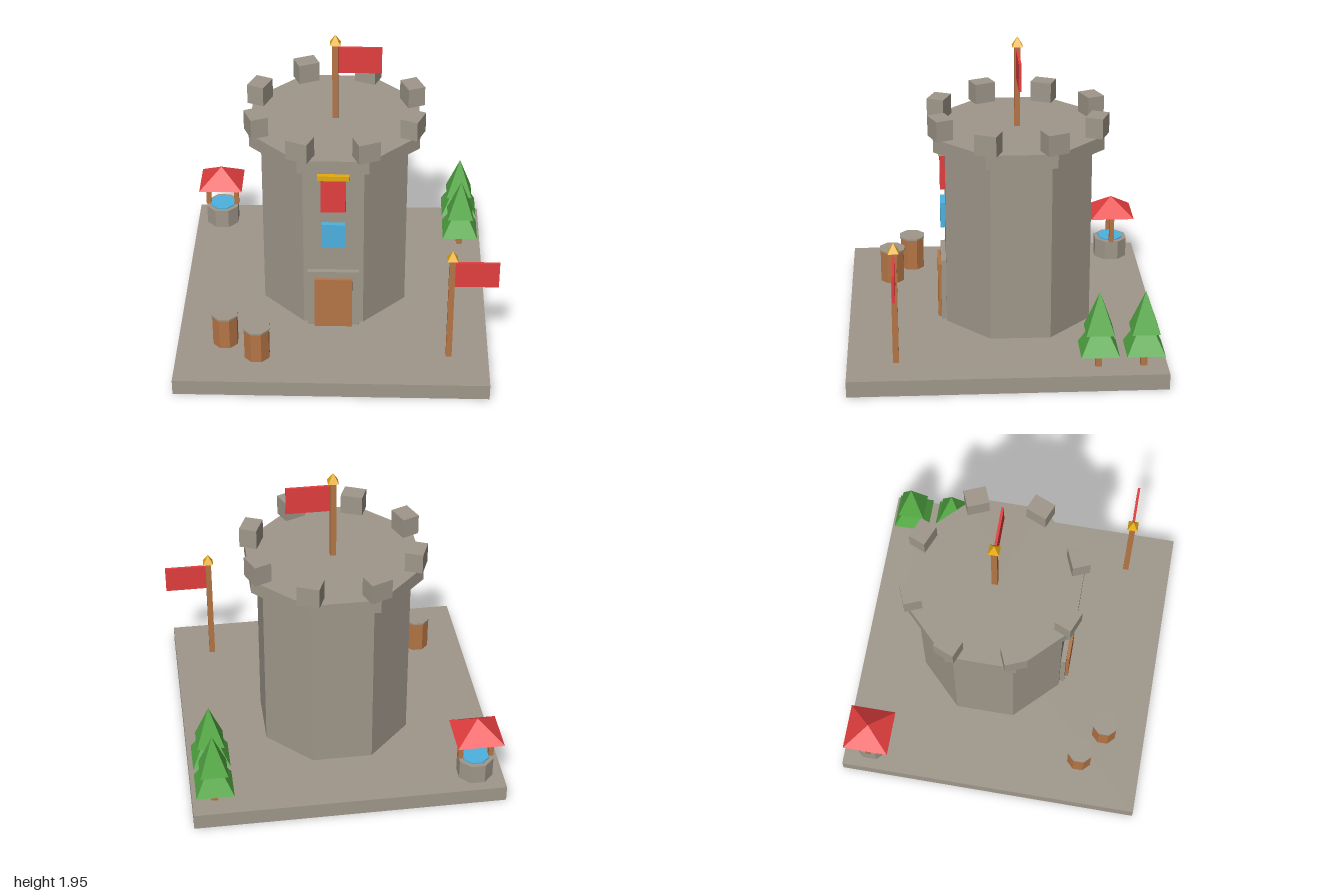
import * as THREE from 'three';

const material = (name, color) => {
  const m = new THREE.MeshStandardMaterial({ color });
  m.name = name;
  return m;
};

export function createModel() {
  const stone = material('stone', 0x9f978a);
  stone.side = THREE.DoubleSide; // the ground slab is an open shell
  const wood = material('wood', 0xb57545);
  const red = material('red cloth', 0xe43e3e);
  const blue = material('blue', 0x4db2e0);
  const green = material('leaf green', 0x54aa45);
  const gold = material('gold', 0xe4aa10);

  const model = new THREE.Group();
  model.name = 'castleTower';
  const GROUND = 0.104;

  const group = (name, x, y, z) => {
    const g = new THREE.Group();
    g.name = name;
    g.position.set(x, y, z);
    model.add(g);
    return g;
  };

  // Box given by its extents on each axis
  const box = (parent, name, mat, [x0, x1], [y0, y1], [z0, z1]) => {
    const mesh = new THREE.Mesh(new THREE.BoxGeometry(x1 - x0, y1 - y0, z1 - z0), mat);
    mesh.position.set((x0 + x1) / 2, (y0 + y1) / 2, (z0 + z1) / 2);
    mesh.name = name;
    parent.add(mesh);
    return mesh;
  };

  // Faceted prism or pyramid with flat sides facing the axes; r is centre to flat
  const prism = (parent, name, mat, sides, rTop, rBottom, y0, y1) => {
    const k = 1 / Math.cos(Math.PI / sides);
    const geo = new THREE.CylinderGeometry(rTop * k, rBottom * k, y1 - y0, sides)
      .rotateY(Math.PI / sides).toNonIndexed();
    geo.computeVertexNormals();
    const mesh = new THREE.Mesh(geo, mat);
    mesh.position.y = (y0 + y1) / 2;
    mesh.name = name;
    parent.add(mesh);
    return mesh;
  };

  // Ground slab, hollow from below: the bottom face (fourth of six) is dropped
  const ground = box(model, 'ground', stone, [-1, 0.96], [0, GROUND], [-0.98, 0.98]).geometry;
  ground.setIndex([...ground.index.array].filter((_, i) => Math.floor(i / 6) !== 3));
  ground.clearGroups();

  // Tower with parapet and merlons
  const tower = group('tower', -0.02, 0, -0.104);
  prism(tower, 'towerWall', stone, 8, 0.458, 0.458, GROUND, 1.277);
  prism(tower, 'parapet', stone, 8, 0.53, 0.53, 1.277, 1.367);
  for (let i = 0; i < 8; i++) {
    const a = (i + 0.5) * Math.PI / 4;
    const merlon = box(tower, 'merlon', stone, [-0.07, 0.07], [1.367, 1.498], [-0.056, 0.056]);
    merlon.position.x = Math.sin(a) * 0.525;
    merlon.position.z = Math.cos(a) * 0.525;
    merlon.rotation.y = a;
  }

  // Front details, measured from the tower axis
  const front = (name, mat, halfWidth, ys, depth) =>
    box(tower, name, mat, [-halfWidth, halfWidth], ys, [0.45, 0.458 + depth]);
  front('doorFrame', stone, 0.163, [GROUND, 0.517], 0.032);
  front('door', wood, 0.12, [GROUND, 0.469], 0.052);
  front('window', blue, 0.073, [0.709, 0.876], 0.032);
  front('banner', red, 0.077, [0.971, 1.208], 0.032);
  front('bannerRod', gold, 0.098, [1.206, 1.239], 0.042);

  // Flagpoles
  const flagpole = (x, y, z, height) => {
    const g = group('flagpole', x, y, z);
    box(g, 'pole', wood, [-0.0185, 0.0185], [0, height], [-0.0185, 0.0185]);
    prism(g, 'finial', gold, 4, 0, 0.033, height - 0.002, height + 0.06);
    box(g, 'flag', red, [0.0185, 0.288], [height - 0.201, height - 0.025], [-0.008, 0.008]);
  };
  flagpole(-0.02, 1.367, -0.104, 0.52);
  flagpole(0.712, GROUND, 0.679, 0.737);

  // Barrels
  for (const [x, z] of [[-0.698, 0.573], [-0.49, 0.708]]) {
    const g = group('barrel', x, 0, z);
    prism(g, 'barrelBody', wood, 8, 0.077, 0.077, GROUND, 0.32);
    prism(g, 'barrelLid', stone, 8, 0.082, 0.082, 0.32, 0.331);
  }

  // Trees
  for (const z of [-0.835, -0.557]) {
    const g = group('tree', 0.818, 0, z);
    box(g, 'trunk', wood, [-0.02, 0.02], [GROUND, 0.23], [-0.02, 0.02]);
    prism(g, 'lowerFoliage', green, 4, 0, 0.117, 0.211, 0.457);
    prism(g, 'upperFoliage', green, 4, 0, 0.086, 0.342, 0.598);
  }

  // Well
  const well = group('well', -0.827, 0, -0.806);
  prism(well, 'wellWall', stone, 8, 0.107, 0.107, GROUND, 0.237);
  prism(well, 'water', blue, 8, 0.08, 0.08, 0.232, 0.246);
  for (const s of [-1, 1]) {
    box(well, 'wellPost', wood, [s * 0.097 - 0.016, s * 0.097 + 0.016], [0.237, 0.427], [-0.016, 0.016]);
  }
  prism(well, 'wellRoof', red, 4, 0, 0.146, 0.421, 0.536);

  return model;
}
